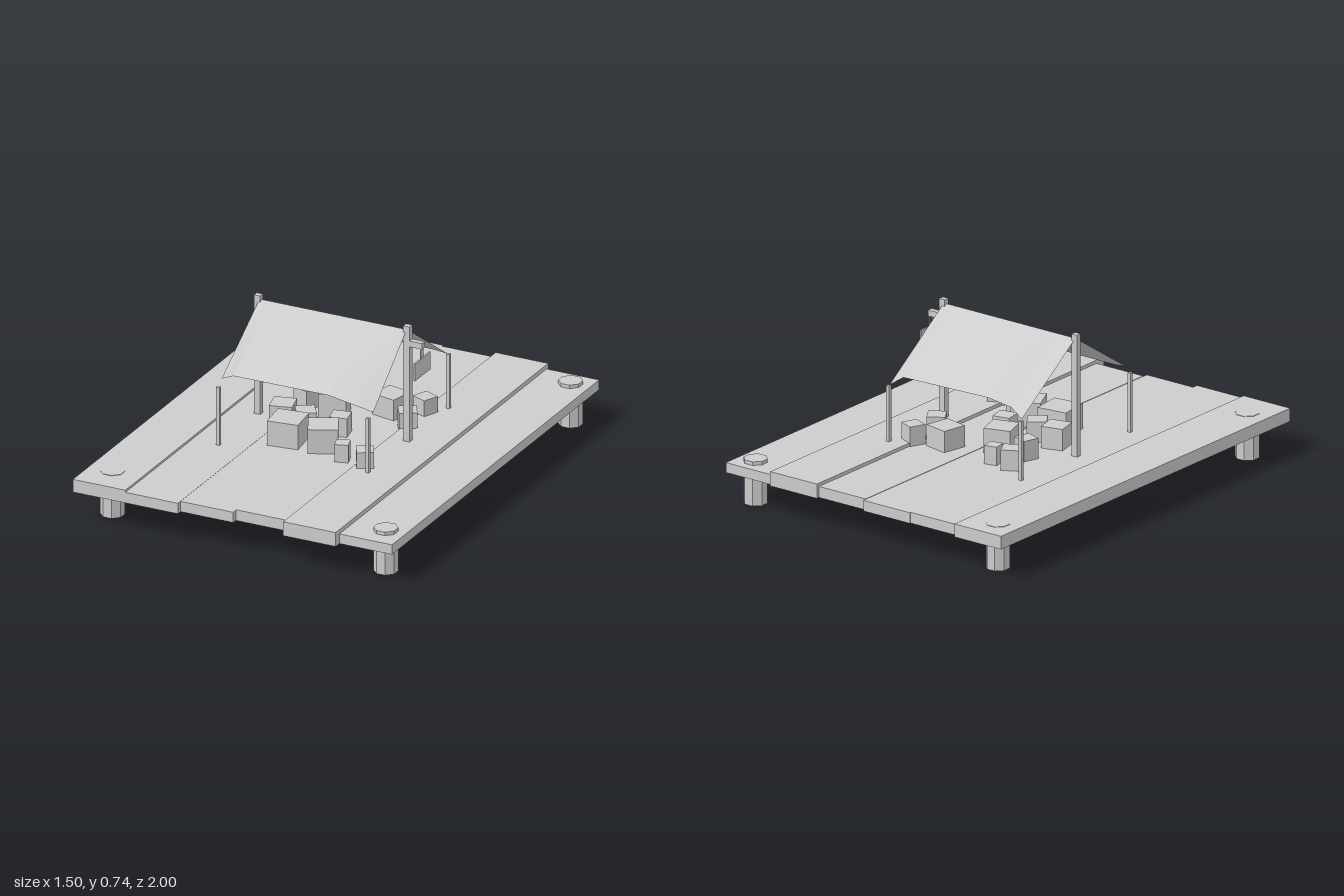
import * as THREE from 'three';

export function createModel() {
  const model = new THREE.Group();
  model.name = 'dockStall';
  const grey = new THREE.MeshStandardMaterial({ color: 0xcccccc, flatShading: true, side: THREE.DoubleSide });
  grey.name = 'paleGrey';

  const add = (name, geometry, x, y, z, turn = 0) => {
    const mesh = new THREE.Mesh(geometry, grey);
    mesh.name = name;
    mesh.position.set(x, y, z);
    mesh.rotation.y = turn;
    model.add(mesh);
    return mesh;
  };
  // box given by its centre, its base height and its top height
  const block = (name, x, z, w, d, y0, y1, turn = 0) =>
    add(name, new THREE.BoxGeometry(w, y1 - y0, d), x, (y0 + y1) / 2, z, turn);

  // deck planks: back end, front end, top height
  [
    [-1, 0.995, 0.198], [-0.98, 0.995, 0.188], [-0.985, 0.97, 0.187],
    [-0.97, 0.945, 0.189], [-0.985, 0.995, 0.204], [-0.97, 0.96, 0.184],
  ].forEach(([back, front, top], i) =>
    block('plank', -0.625 + i * 0.25, (back + front) / 2, 0.25, front - back, 0.139, top));

  // octagonal posts under the corners
  for (const x of [-0.64, 0.66]) for (const z of [-0.88, 0.84])
    add('deckPost', new THREE.CylinderGeometry(0.053, 0.053, 0.2, 8), x, 0.1, z, Math.PI / 8);

  // tent poles
  for (const x of [-0.375, 0.335]) {
    block('ridgePole', x, 0, 0.03, 0.026, 0.18, 0.737);
    for (const z of [-0.38, 0.372]) block('eavePole', x, z, 0.016, 0.016, 0.18, 0.455);
  }

  // cloth roof: each column runs from the ridge to an eave point [x, y, z]
  const slope = (name, eave) => {
    const positions = [], index = [], rows = 3;
    eave.forEach(([x, y, z], c) => {
      for (let r = 0; r <= rows; r++) {
        const t = r / rows;
        positions.push(x, 0.717 + (y - 0.717) * t, z * t);
        if (c && r) {
          const a = (c - 1) * (rows + 1) + r - 1, b = a + rows + 1;
          index.push(a, a + 1, b, b, a + 1, b + 1);
        }
      }
    });
    const geometry = new THREE.BufferGeometry();
    geometry.setAttribute('position', new THREE.Float32BufferAttribute(positions, 3));
    geometry.setIndex(index);
    geometry.computeVertexNormals();
    add(name, geometry, 0, 0, 0);
  };
  slope('frontCloth', [[-0.37, 0.487, 0.352], [-0.33, 0.495, 0.322], [0.12, 0.497, 0.322], [0.235, 0.478, 0.322], [0.33, 0.456, 0.312]]);
  slope('backCloth', [[0.334, 0.456, -0.376], [0.295, 0.485, -0.33], [-0.16, 0.495, -0.328], [-0.28, 0.478, -0.325], [-0.372, 0.458, -0.37]]);

  // hanging sign on a short arm
  block('signArm', 0.367, 0, 0.085, 0.026, 0.645, 0.672);
  block('signBoard', 0.402, 0, 0.008, 0.145, 0.52, 0.6);
  for (const z of [-0.01, 0.01]) block('signCord', 0.402, z, 0.004, 0.004, 0.6, 0.645);

  // crates: x, z, width, top height, turn
  [
    [-0.13, 0.205, 0.14, 0.3, 0.12], [0.035, 0.2, 0.13, 0.3, 0.45],
    [0.165, 0.275, 0.06, 0.27, 0.3], [0.29, 0.31, 0.075, 0.277, 0.5],
    [-0.235, 0.045, 0.1, 0.285, 0.25], [-0.12, 0.06, 0.085, 0.28, 0.6],
    [0.03, 0.03, 0.08, 0.275, 0.2],
    [0.13, -0.25, 0.115, 0.285, -0.2], [0.26, -0.145, 0.08, 0.275, 0.55],
    [0.265, -0.3, 0.075, 0.277, -0.4], [-0.085, -0.14, 0.12, 0.3, 0.3],
    [-0.15, -0.28, 0.06, 0.27, 0.2], [-0.25, -0.285, 0.08, 0.28, 0.5],
    [-0.225, -0.15, 0.075, 0.28, -0.3],
  ].forEach(([x, z, w, top, turn]) => block('crate', x, z, w, w, 0.18, top, turn));

  return model;
}
